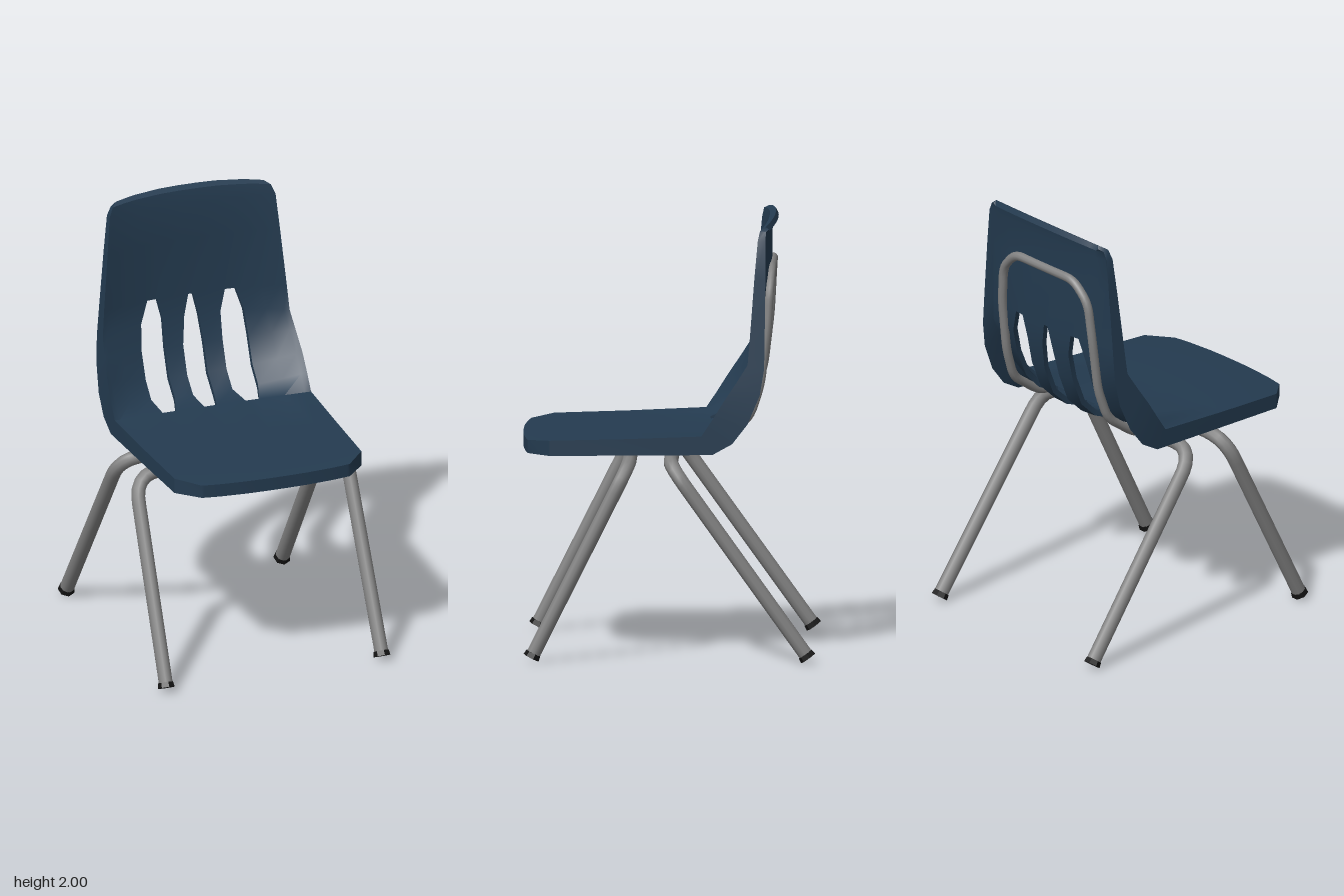
import * as THREE from 'three';
import { toCreasedNormals } from 'three/addons/utils/BufferGeometryUtils.js';

const plastic = new THREE.MeshStandardMaterial({ color: 0x243b50 });
plastic.name = 'navyPlastic';
const steel = new THREE.MeshStandardMaterial({ color: 0x828282, side: THREE.DoubleSide });
steel.name = 'greySteel';
const rubber = new THREE.MeshStandardMaterial({ color: 0x141414 });
rubber.name = 'blackRubber';

const V = (x, y, z) => new THREE.Vector3(x, y, z);

// Shell cross-sections, front of the seat to top of the back:
// half width, centre z y, edge z y, rim z y
const ROWS = [
  [0.36, 0.668, 1.0, 0.64, 1.0, 0.64, 0.94],
  [0.455, 0.54, 1.01, 0.54, 1.01, 0.54, 0.94],
  [0.467, 0.2, 1.02, 0.2, 1.02, 0.2, 0.945],
  [0.478, -0.18, 1.025, -0.15, 1.035, -0.2, 0.95],
  [0.478, -0.27, 1.05, -0.2, 1.11, -0.29, 1.0],
  [0.475, -0.345, 1.12, -0.25, 1.19, -0.36, 1.09],
  [0.465, -0.395, 1.25, -0.31, 1.28, -0.415, 1.22],
  [0.455, -0.42, 1.38, -0.36, 1.36, -0.435, 1.34],
  [0.445, -0.43, 1.48, -0.37, 1.48, -0.437, 1.46],
  [0.42, -0.435, 1.75, -0.39, 1.75, -0.44, 1.75],
  [0.404, -0.437, 1.92, -0.405, 1.92, -0.44, 1.92],
  [0.385, -0.45, 1.985, -0.415, 1.965, -0.442, 1.96],
  [0.36, -0.478, 2.0, -0.44, 1.98, -0.455, 1.97],
];
// Slot edges per row: centre half width, inner x, outer x
const SLOT = { 3: [0.03, 0.17, 0.235], 7: [0.035, 0.14, 0.25], 8: [0.012, 0.165, 0.215] };
const FIRST = 3, LAST = 8, SKIP = [3, 5, 7];

function columns(i) {
  const [c, a, b] = SLOT[i] || [0.05, 0.14, 0.26];
  const w = ROWS[i][0];
  const half = [c, a, b, b + (w - b) * 0.5, b + (w - b) * 0.88, w];
  return [...half.map(x => -x).reverse(), ...half];
}

function shellGeometry() {
  const n = ROWS.length, m = 12, thick = 0.025;
  const front = [], back = [], pos = [];
  ROWS.forEach(([w, zc, yc, ze, ye, zr, yr], i) => {
    const p = ROWS[Math.max(i - 1, 0)], q = ROWS[Math.min(i + 1, n - 1)];
    const dz = q[1] - p[1], dy = q[2] - p[2], len = Math.hypot(dz, dy);
    front.push([]);
    back.push([]);
    columns(i).forEach((x, j) => {
      const k = Math.abs(x / w) ** 2.5;
      const f = V(x, yc + (ye - yc) * k, zc + (ze - zc) * k);
      front[i].push(f);
      if (j === 0 || j === m - 1) back[i].push(V(x, yr, zr));
      else if (i === 0) back[i].push(V(x, yr, f.z));
      else back[i].push(V(x, f.y + thick * dz / len, f.z - thick * dy / len));
    });
  });
  const quad = (a, b, c, d) => [a, b, c, a, c, d].forEach(v => pos.push(v.x, v.y, v.z));
  const open = (i, j) => i < 0 || j < 0 || i >= n - 1 || j >= m - 1
    || (i >= FIRST && i < LAST && SKIP.includes(j));
  for (let i = 0; i < n - 1; i++) {
    for (let j = 0; j < m - 1; j++) {
      if (open(i, j)) continue;
      const c = [[i, j], [i, j + 1], [i + 1, j + 1], [i + 1, j]];
      const f = c.map(([r, s]) => front[r][s]), b = c.map(([r, s]) => back[r][s]);
      quad(f[0], f[1], f[2], f[3]);
      quad(b[3], b[2], b[1], b[0]);
      // walls along the outer rim and around the slots
      [[i - 1, j], [i, j + 1], [i + 1, j], [i, j - 1]].forEach(([r, s], e) => {
        const g = (e + 1) % 4;
        if (open(r, s)) quad(f[e], b[e], b[g], f[g]);
      });
    }
  }
  const geo = new THREE.BufferGeometry();
  geo.setAttribute('position', new THREE.Float32BufferAttribute(pos, 3));
  return toCreasedNormals(geo, 0.7);
}

// Round tube through points, with each corner bent
function bentTube(points, radius, bend, segments) {
  const path = new THREE.CurvePath();
  let from = points[0];
  for (let i = 1; i < points.length - 1; i++) {
    const toward = t => points[i].clone().add(
      t.clone().sub(points[i]).setLength(Math.min(bend, t.distanceTo(points[i]) * 0.45)));
    const a = toward(points[i - 1]), b = toward(points[i + 1]);
    path.add(new THREE.LineCurve3(from, a));
    path.add(new THREE.QuadraticBezierCurve3(a, points[i], b));
    from = b;
  }
  path.add(new THREE.LineCurve3(from, points[points.length - 1]));
  return new THREE.TubeGeometry(path, segments, radius, 10, false);
}

// Run points from the +x side across to the mirrored -x side
const mirrored = half => [...half, ...half.map(p => V(-p.x, p.y, p.z)).reverse()];

export function createModel() {
  const model = new THREE.Group();
  model.name = 'chair';
  const add = (name, geo, mat) => {
    const mesh = new THREE.Mesh(geo, mat);
    mesh.name = name;
    model.add(mesh);
    return mesh;
  };

  add('seatShell', shellGeometry(), plastic);

  // Bent leg frames with a glide under each foot
  [['front', 0.61, 0.18], ['rear', -0.625, -0.01]].forEach(([name, zFoot, zTop]) => {
    const foot = V(0.525, 0.045, zFoot), top = V(0.51, 0.905, zTop);
    add(name + 'Legs', bentTube(mirrored([foot, top]), 0.033, 0.13, 80), steel);
    for (const side of [1, -1]) {
      const axis = V((top.x - foot.x) * side, top.y - foot.y, top.z - foot.z).normalize();
      const glide = add(name + (side > 0 ? 'Left' : 'Right') + 'Glide',
        new THREE.CylinderGeometry(0.036, 0.04, 0.024, 7).toNonIndexed(), rubber);
      glide.geometry.computeVertexNormals();
      glide.quaternion.setFromUnitVectors(V(0, 1, 0), axis);
      glide.position.set(foot.x * side, foot.y, foot.z).addScaledVector(axis, -0.01);
    }
  });

  // Support loop running under the seat and up behind the back
  add('backSupport', bentTube(mirrored([
    V(0.33, 0.975, 0.38), V(0.33, 0.985, -0.2), V(0.325, 1.1, -0.365), V(0.315, 1.25, -0.415),
    V(0.31, 1.5, -0.445), V(0.29, 1.68, -0.455), V(0.2, 1.77, -0.462),
  ]), 0.021, 0.05, 140), steel);

  return model;
}
